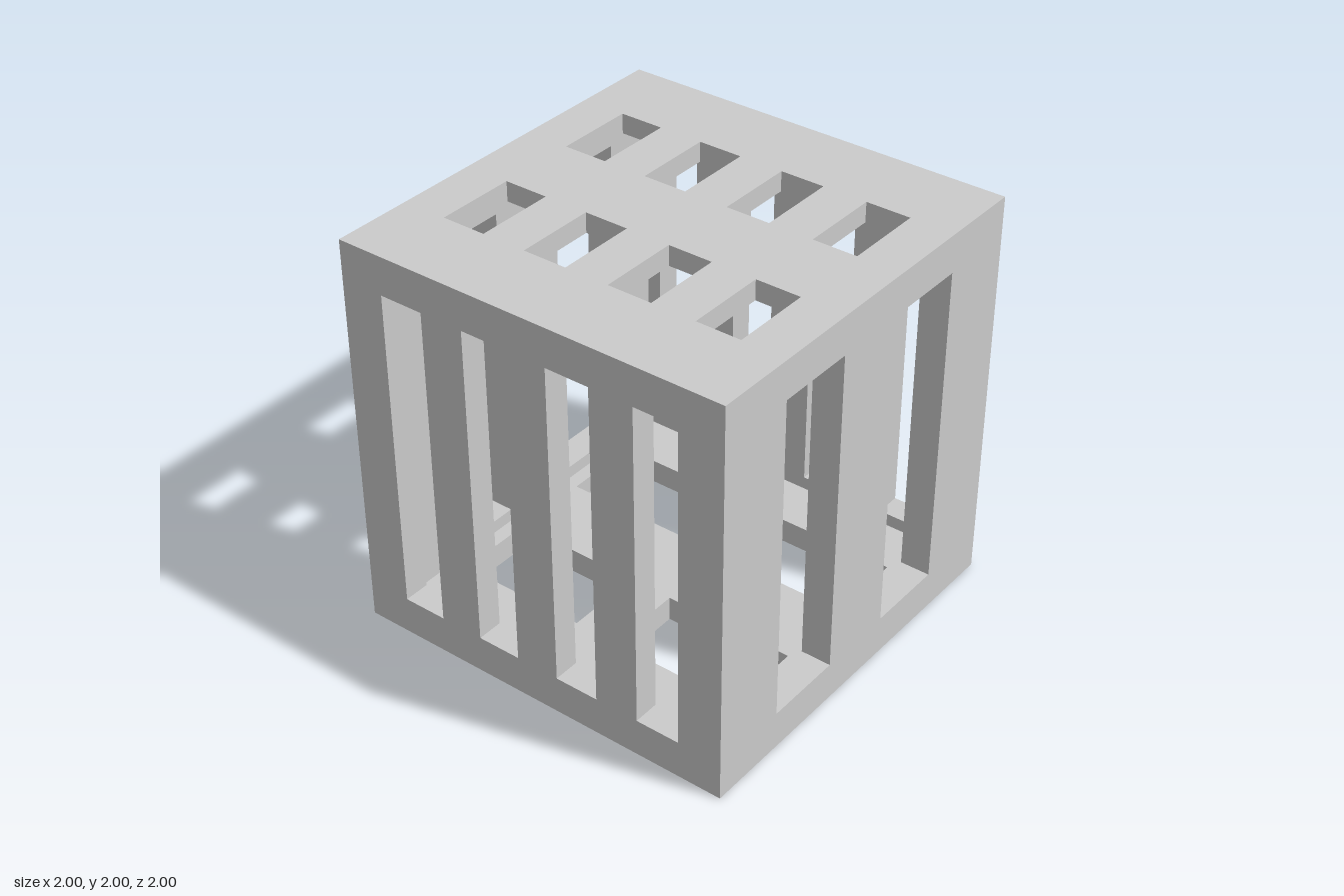
import * as THREE from 'three';

// Wall thicknesses of the hollow box
const SIDE = 0.15, FRONT = 0.13, FLOOR = 0.125, ROOF = 0.1;

const material = new THREE.MeshStandardMaterial({ color: 0xcccccc, flatShading: true });

function rectangle(PathType, [u0, u1], [v0, v1]) {
  const path = new PathType();
  path.moveTo(u0, v0);
  path.lineTo(u1, v0);
  path.lineTo(u1, v1);
  path.lineTo(u0, v1);
  path.closePath();
  return path;
}

// Flat panel with a grid of rectangular openings, extruded along +z
function panel(name, uRange, vRange, columns, rows, depth) {
  const shape = rectangle(THREE.Shape, uRange, vRange);
  for (const u of columns) for (const v of rows) {
    shape.holes.push(rectangle(THREE.Path, u, v));
  }
  const geometry = new THREE.ExtrudeGeometry(shape, { depth, bevelEnabled: false });
  const mesh = new THREE.Mesh(geometry, material);
  mesh.name = name;
  return mesh;
}

export function createModel() {
  const model = new THREE.Group();
  model.name = 'slottedBox';

  const s = 2 / 9;
  const slots = [-3.5, -1.5, 0.5, 2.5].map((k) => [k * s, (k + 1) * s]);
  const pairs = [[-3.5 * s, -0.5 * s], [0.5 * s, 3.5 * s]];
  const bays = [[-0.6, -0.2], [0.2, 0.6]];
  const opening = [[0.19, 1.81]];
  const innerX = [-1 + SIDE, 1 - SIDE];
  const innerZ = [-1 + FRONT, 1 - FRONT];

  // Front and back walls with four tall slots
  for (const [name, z] of [['frontWall', 1 - FRONT], ['backWall', -1]]) {
    const wall = panel(name, [-1, 1], [0, 2], slots, opening, FRONT);
    wall.position.z = z;
    model.add(wall);
  }

  // Side walls with two wide windows, fitted between front and back
  for (const [name, x] of [['leftWall', 1 - SIDE], ['rightWall', -1]]) {
    const wall = panel(name, innerZ, [0, 2], bays, opening, SIDE);
    wall.rotation.y = Math.PI / 2;
    wall.position.x = x;
    model.add(wall);
  }

  // Roof with eight small openings and floor with four large ones
  const roof = panel('roof', innerX, innerZ, slots, bays, ROOF);
  roof.position.y = 2 - ROOF;
  const floor = panel('floor', innerX, innerZ, pairs, bays, FLOOR);
  for (const plate of [roof, floor]) {
    plate.rotation.x = -Math.PI / 2;
    model.add(plate);
  }

  return model;
}
